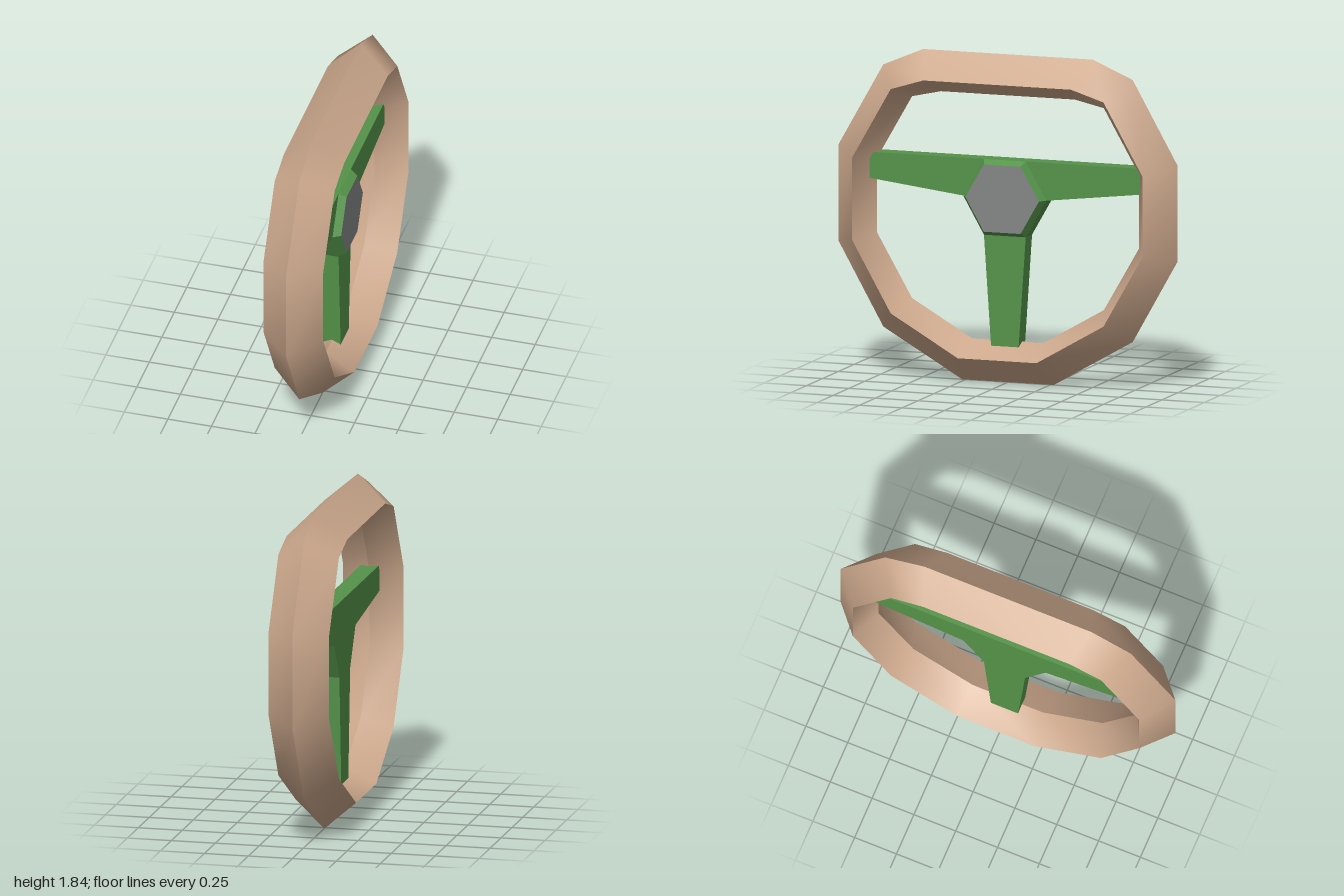
import * as THREE from 'three';

const rimTan = new THREE.MeshStandardMaterial({ color: 0xcca88c });
const spokeGreen = new THREE.MeshStandardMaterial({ color: 0x549349 });
const capGrey = new THREE.MeshStandardMaterial({ color: 0x828685 });

function addMesh(group, name, geometry, material) {
  const mesh = new THREE.Mesh(geometry, material);
  mesh.name = name;
  group.add(mesh);
}

// Mirror half an outline of [z, y] points, listed from bottom to top, into a closed loop
const mirrored = (half) => [...half, ...half.map(([z, y]) => [-z, y]).reverse()];

// Faceted ring with a diamond section: sharp along the ridges, smooth around the loop
function rimGeometry() {
  const outer = mirrored([[0.27, 0], [0.735, 0.268], [1, 0.735], [1, 1.27], [0.735, 1.735], [0.5, 1.835]]);
  const side = mirrored([[0.232, 0.147], [0.627, 0.375], [0.856, 0.775], [0.856, 1.23], [0.627, 1.63], [0.435, 1.69]]);
  const inner = mirrored([[0.21, 0.232], [0.565, 0.437], [0.773, 0.795], [0.773, 1.207], [0.565, 1.567], [0.395, 1.605]]);
  const ridges = [[outer, 0], [side, 0.172], [inner, 0], [side, -0.172]];
  const n = outer.length, positions = [], indices = [];
  ridges.forEach(([loopA, xA], k) => {
    const [loopB, xB] = ridges[(k + 1) % 4];
    const base = k * n * 2;
    for (let i = 0; i < n; i++) {
      positions.push(xA, loopA[i][1], loopA[i][0], xB, loopB[i][1], loopB[i][0]);
      const a = base + i * 2, c = base + ((i + 1) % n) * 2;
      indices.push(a, a + 1, c + 1, a, c + 1, c);
    }
  });
  const geometry = new THREE.BufferGeometry();
  geometry.setAttribute('position', new THREE.Float32BufferAttribute(positions, 3));
  geometry.setIndex(indices);
  geometry.computeVertexNormals();
  return geometry;
}

// Flat three-armed plate whose ends are buried in the rim
function spokeGeometry() {
  const outline = mirrored([[0.076, 0.13], [0.123, 0.825], [0.245, 1.038], [0.87, 1.113], [0.87, 1.25]]);
  const shape = new THREE.Shape(outline.map(([z, y]) => new THREE.Vector2(z, y)));
  return new THREE.ExtrudeGeometry(shape, { depth: 0.1, bevelEnabled: false })
    .rotateY(Math.PI / 2)
    .translate(-0.05, 0, 0);
}

// Six-sided bevelled boss on the +x face
function hubGeometry() {
  const geometry = new THREE.CylinderGeometry(0.217, 0.245, 0.042, 6).toNonIndexed();
  geometry.rotateZ(-Math.PI / 2).translate(0.071, 1.038, 0);
  geometry.computeVertexNormals();
  return geometry;
}

export function createModel() {
  const wheel = new THREE.Group();
  wheel.name = 'steeringWheel';
  addMesh(wheel, 'rim', rimGeometry(), rimTan);
  addMesh(wheel, 'spokes', spokeGeometry(), spokeGreen);
  addMesh(wheel, 'hub', hubGeometry(), [spokeGreen, capGrey, spokeGreen]);
  return wheel;
}
